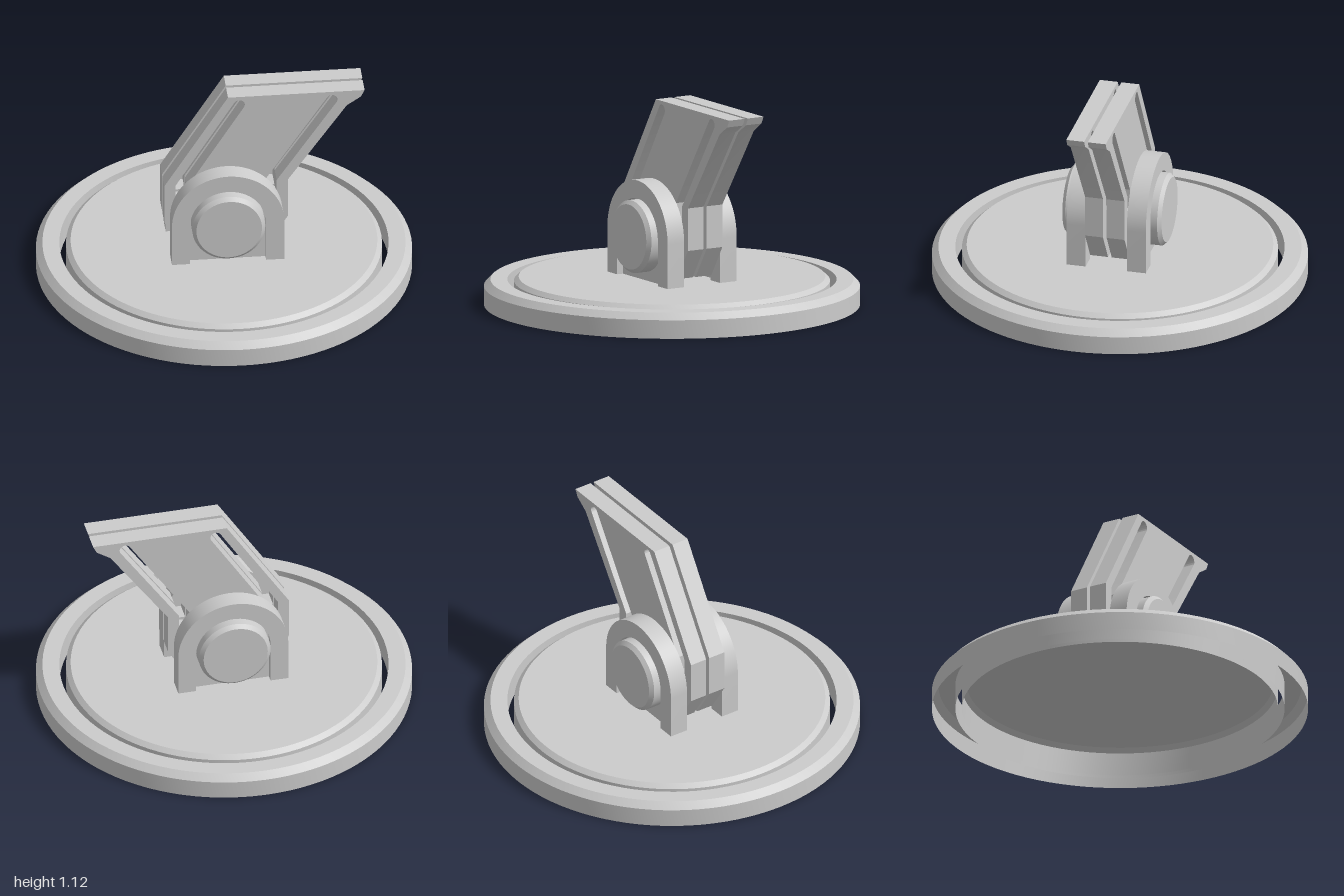
import * as THREE from 'three';
import { toCreasedNormals } from 'three/addons/utils/BufferGeometryUtils.js';

const PIVOT_Y = 0.39;
const BASE_TOP = 0.15;

const solid = new THREE.MeshStandardMaterial({ color: 0xcccccc });
const shell = new THREE.MeshStandardMaterial({ color: 0xcccccc, side: THREE.DoubleSide });

const points = (list) => list.map(([x, y]) => new THREE.Vector2(x, y));

function part(name, geometry, material = solid) {
  const mesh = new THREE.Mesh(toCreasedNormals(geometry, 0.5), material);
  mesh.name = name;
  return mesh;
}

const lathe = (profile) => new THREE.LatheGeometry(points(profile), 96);

// Extrude a flat shape from z0 to z1
function slab(shape, z0, z1) {
  return new THREE.ExtrudeGeometry(shape, { depth: z1 - z0, bevelEnabled: false, curveSegments: 24 })
    .translate(0, 0, z0);
}

// Round-topped lug outline standing on the base
function archShape(r) {
  const s = new THREE.Shape();
  s.moveTo(-r, BASE_TOP);
  s.lineTo(r, BASE_TOP);
  s.lineTo(r, PIVOT_Y);
  s.absarc(0, PIVOT_Y, r, 0, Math.PI, false);
  s.closePath();
  return s;
}

// Horseshoe frame: arch with a round-topped channel cut out of it
function horseshoeShape(outer, inner) {
  const s = new THREE.Shape();
  s.moveTo(inner, BASE_TOP);
  s.lineTo(outer, BASE_TOP);
  s.lineTo(outer, PIVOT_Y);
  s.absarc(0, PIVOT_Y, outer, 0, Math.PI, false);
  s.lineTo(-outer, BASE_TOP);
  s.lineTo(-inner, BASE_TOP);
  s.lineTo(-inner, PIVOT_Y);
  s.absarc(0, PIVOT_Y, inner, Math.PI, 0, true);
  s.closePath();
  return s;
}

// Slanted slot with a round upper end and a short upright foot
function slotHole(cx, cy, r, angle, foot) {
  const h = new THREE.Path();
  h.moveTo(foot[0][0], foot[0][1]);
  for (const [x, y] of foot.slice(1)) h.lineTo(x, y);
  h.absarc(cx, cy, r, angle - Math.PI / 2, angle + Math.PI / 2, false);
  h.closePath();
  return h;
}

function armShape() {
  const s = new THREE.Shape(points([
    [-0.22, 0.18], [0.22, 0.18], [0.33, 0.35], [0.33, 0.58], [0.645, 1.03],
    [0.72, 1.08], [0.74, 1.12], [0.01, 1.12], [-0.33, 0.58], [-0.33, 0.35],
  ]));
  s.holes.push(
    slotHole(0.07, 1.07, 0.03, 1.0, [[-0.27, 0.58], [-0.27, 0.48], [-0.21, 0.48], [-0.21, 0.565]]),
    slotHole(0.565, 1.07, 0.03, 0.97, [[0.21, 0.59], [0.21, 0.48], [0.27, 0.48], [0.27, 0.58]]),
  );
  return s;
}

export function createModel() {
  const model = new THREE.Group();
  model.name = 'swivelMount';

  // Hollow outer ring and hollow turntable, both open underneath
  model.add(part('outerRing', lathe([
    [1, 0], [1, 0.1], [0.965, 0.135], [0.875, 0.135], [0.875, 0],
  ]), shell));
  model.add(part('turntable', lathe([
    [0.84, 0], [0.84, 0.128], [0.815, BASE_TOP], [0, BASE_TOP],
  ]), shell));

  // Front and back halves of the hinge
  for (const [side, turn] of [['front', 1], ['back', -1]]) {
    const half = new THREE.Group();
    half.name = side + 'Hinge';

    // Lug: horseshoe frame with a thin web in the middle of its channel
    const lug = new THREE.Group();
    lug.name = side + 'Lug';
    lug.add(part('lugFrame', slab(horseshoeShape(0.3, 0.203), 0.113, 0.217)));
    lug.add(part('lugWeb', slab(archShape(0.21), 0.15, 0.18)));
    half.add(lug);

    // Chamfered pivot knob
    const knob = part('pivotKnob', new THREE.LatheGeometry(points([
      [0, 0.11], [0.195, 0.11], [0.195, 0.252], [0.175, 0.272], [0, 0.272],
    ]), 64).rotateX(Math.PI / 2));
    knob.position.y = PIVOT_Y;
    half.add(knob);

    // The hinge halves are symmetric in x, so a half turn mirrors them
    if (turn < 0) half.rotation.y = Math.PI;
    model.add(half);

    // Slotted arm plate
    const z = turn > 0 ? [0.01, 0.108] : [-0.108, -0.01];
    model.add(part(side + 'ArmPlate', slab(armShape(), ...z)));
  }
  return model;
}
